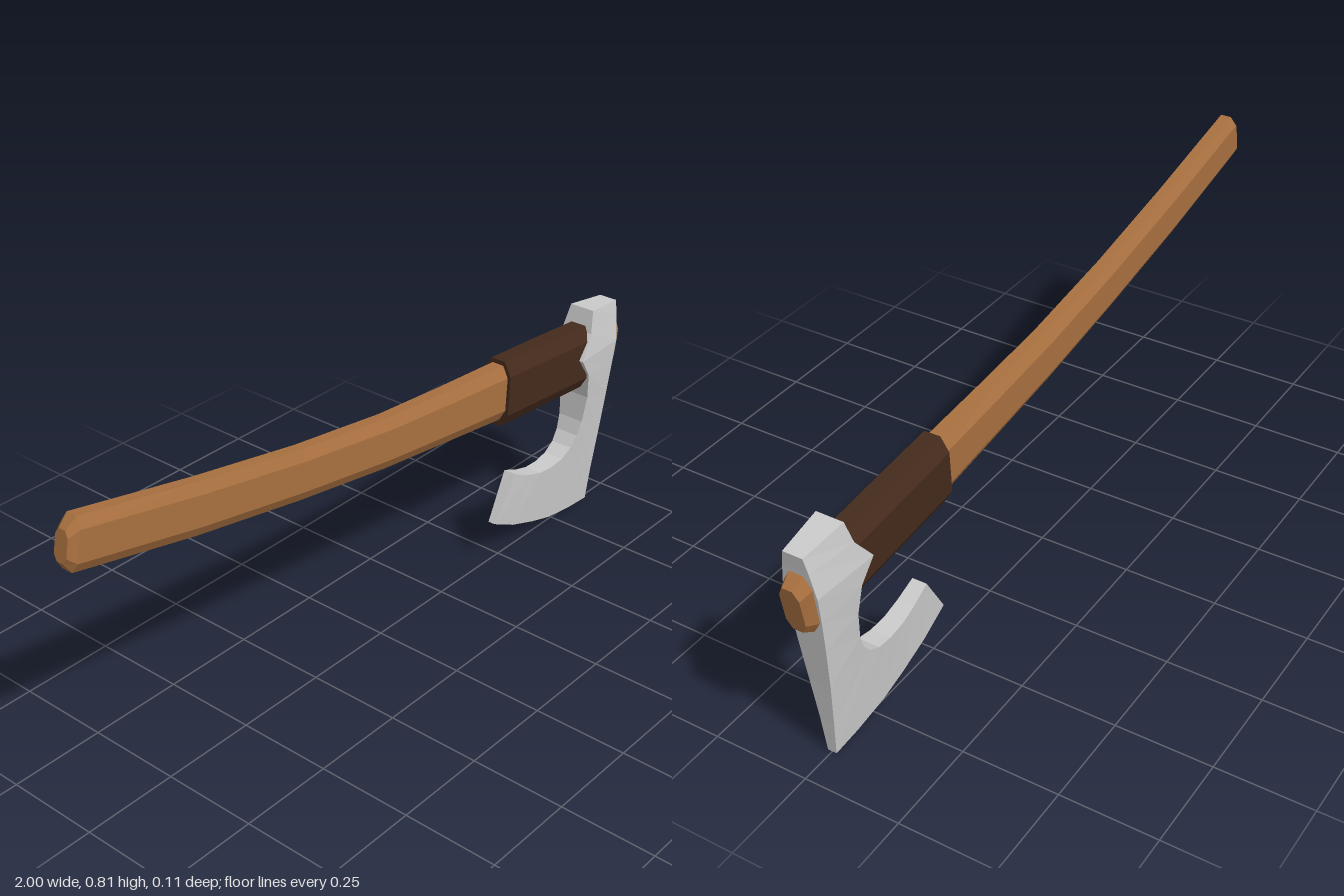
import * as THREE from 'three';

// Closed skin over a series of rings (each an array of [x, y, z])
function loft(name, rings, color) {
  const pos = [];
  const tri = (a, b, c) => pos.push(...a, ...b, ...c);
  const n = rings[0].length;
  for (let j = 0; j < rings.length - 1; j++) {
    const a = rings[j], b = rings[j + 1];
    for (let i = 0; i < n; i++) {
      const k = (i + 1) % n;
      tri(a[i], a[k], b[i]);
      tri(a[k], b[k], b[i]);
    }
  }
  const first = rings[0], last = rings[rings.length - 1];
  for (let i = 1; i < n - 1; i++) {
    tri(first[0], first[i + 1], first[i]);
    tri(last[0], last[i], last[i + 1]);
  }
  const geo = new THREE.BufferGeometry();
  geo.setAttribute('position', new THREE.Float32BufferAttribute(pos, 3));
  geo.computeVertexNormals();
  const mesh = new THREE.Mesh(geo, new THREE.MeshStandardMaterial({ color, flatShading: true }));
  mesh.name = name;
  return mesh;
}

// Tall chamfered octagon between a top and a bottom point, half width w
const OCTAGON = [[1, 0.5], [0.6, 1], [-0.6, 1], [-1, 0.5], [-1, -0.5], [-0.6, -1], [0.6, -1], [1, -0.5]];
const octagon = ([tx, ty, bx, by, w]) => OCTAGON.map(([u, v]) => [
  (tx + bx) / 2 + u * (tx - bx) / 2,
  (ty + by) / 2 + u * (ty - by) / 2,
  v * w,
]);

// Four-sided slice of the head: inner point, outer point, their half thicknesses
const slice = ([ix, iy, ox, oy, ti, to]) => [[ox, oy, to], [ix, iy, ti], [ix, iy, -ti], [ox, oy, -to]];

export function createModel() {
  const group = new THREE.Group();
  group.name = 'axe';

  // Curved shaft with bevelled ends: top x, y, bottom x, y, half width
  const shaft = [
    [-0.985, 0.788, -1.0, 0.716, 0.019],
    [-0.957, 0.812, -0.983, 0.688, 0.029],
    [-0.61, 0.738, -0.635, 0.61, 0.029],
    [-0.29, 0.678, -0.31, 0.549, 0.029],
    [0.01, 0.635, -0.005, 0.5, 0.03],
    [0.24, 0.615, 0.225, 0.472, 0.032],
    [0.47, 0.598, 0.45, 0.445, 0.034],
    [0.965, 0.557, 0.945, 0.395, 0.037],
    [0.997, 0.537, 0.975, 0.412, 0.026],
  ];
  group.add(loft('shaft', shaft.map(octagon), 0xa8703f));

  // Dark grip sleeve below the head
  const wrap = [
    [0.468, 0.61, 0.458, 0.426, 0.043],
    [0.65, 0.596, 0.64, 0.411, 0.044],
    [0.85, 0.579, 0.84, 0.396, 0.045],
  ];
  group.add(loft('wrap', wrap.map(octagon), 0x442a1c));

  // Head: poll, pointed lugs, neck, then the blade fanning out to the beard
  const head = [
    [0.843, 0.625, 0.97, 0.61, 0.036, 0.026],
    [0.826, 0.565, 0.965, 0.57, 0.046, 0.034],
    [0.778, 0.502, 0.957, 0.5, 0.057, 0.045],
    [0.818, 0.445, 0.947, 0.43, 0.052, 0.042],
    [0.829, 0.37, 0.936, 0.34, 0.045, 0.037],
    [0.82, 0.295, 0.922, 0.22, 0.038, 0.029],
    [0.805, 0.255, 0.91, 0.1, 0.034, 0.019],
    [0.782, 0.225, 0.902, 0, 0.031, 0.012],
    [0.745, 0.204, 0.82, 0.005, 0.029, 0.012],
    [0.7, 0.197, 0.72, 0.019, 0.027, 0.012],
    [0.65, 0.2, 0.64, 0.042, 0.025, 0.012],
    [0.6, 0.215, 0.55, 0.073, 0.023, 0.011],
    [0.543, 0.24, 0.465, 0.115, 0.02, 0.01],
  ];
  group.add(loft('head', head.map(slice), 0xcccccc));

  return group;
}
